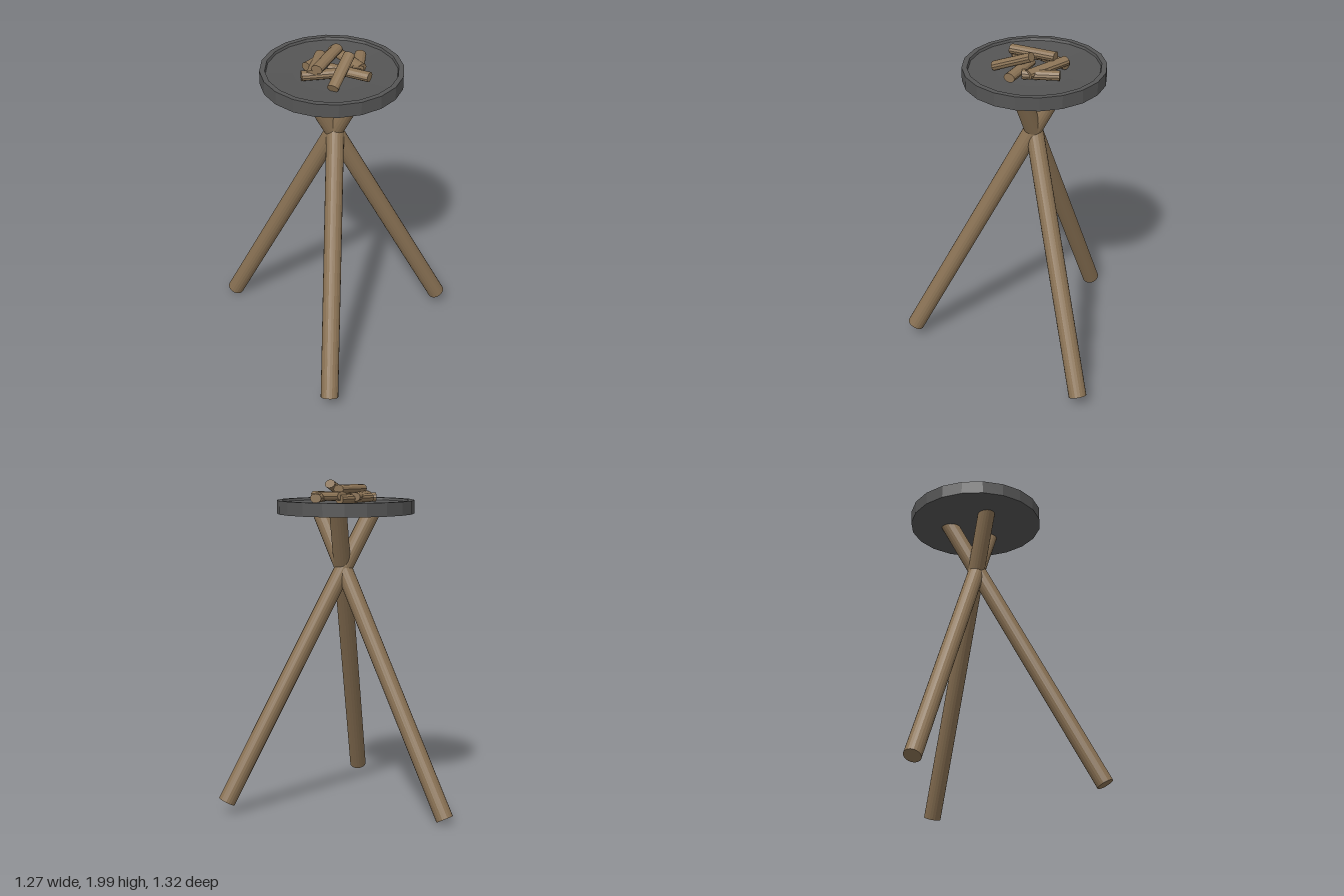
import * as THREE from 'three';

const wood = new THREE.MeshStandardMaterial({ color: 0x8b7355, flatShading: true });
const iron = new THREE.MeshStandardMaterial({ color: 0x555555, flatShading: true });

// Round pole between two points; flatten squashes its height
function pole(name, a, b, radius, sides, flatten = 1) {
  const from = new THREE.Vector3(...a), to = new THREE.Vector3(...b);
  const geometry = new THREE.CylinderGeometry(radius, radius, from.distanceTo(to), sides);
  geometry.rotateX(Math.PI / 2);
  geometry.scale(1, flatten, 1);
  const mesh = new THREE.Mesh(geometry, wood);
  mesh.name = name;
  mesh.position.copy(from).add(to).multiplyScalar(0.5);
  mesh.lookAt(to);
  return mesh;
}

export function createModel() {
  const model = new THREE.Group();
  model.name = 'tripodBrazier';

  // Shallow dish with a thin raised rim
  const profile = [[0, 1.8], [0.41, 1.8], [0.41, 1.88], [0.38, 1.88], [0.375, 1.865], [0.22, 1.857], [0, 1.855]];
  const dish = new THREE.Mesh(
    new THREE.LatheGeometry(profile.map(([r, y]) => new THREE.Vector2(r, y)), 20), iron);
  dish.name = 'dish';
  dish.position.set(0.12, 0, -0.028);
  model.add(dish);

  // Three crossed legs, foot to top
  const legs = new THREE.Group();
  legs.name = 'legs';
  [
    ['rightLeg', [-0.592, 0.033, -0.015], [0.312, 1.824, -0.037]],
    ['frontLeg', [0.507, 0.082, 0.617], [0.057, 1.824, -0.187]],
    ['backLeg', [0.582, 0.082, -0.612], [0.02, 1.824, 0.112]],
  ].forEach(([name, foot, top]) => legs.add(pole(name, foot, top, 0.052, 20)));
  model.add(legs);

  // Loose pile of firewood in the dish
  const firewood = new THREE.Group();
  firewood.name = 'firewood';
  [
    [[0.03, 1.91, -0.18], [0.28, 1.9, -0.085]],
    [[0.12, 1.897, 0], [0.368, 1.9, -0.02]],
    [[0.045, 1.892, -0.19], [0.003, 1.895, 0.057]],
    [[0.185, 1.895, -0.235], [0.275, 1.893, -0.045]],
    [[0.03, 1.892, 0.155], [0.21, 1.892, 0]],
    [[0, 1.903, -0.1], [0.085, 1.905, 0.135]],
    [[0.085, 1.947, -0.145], [0.115, 1.943, 0.13]],
    [[0.21, 1.975, -0.065], [0.24, 1.878, 0.165]],
  ].forEach(([a, b], i) => firewood.add(pole(`log${i + 1}`, a, b, 0.034, 12, 0.8)));
  model.add(firewood);

  return model;
}
